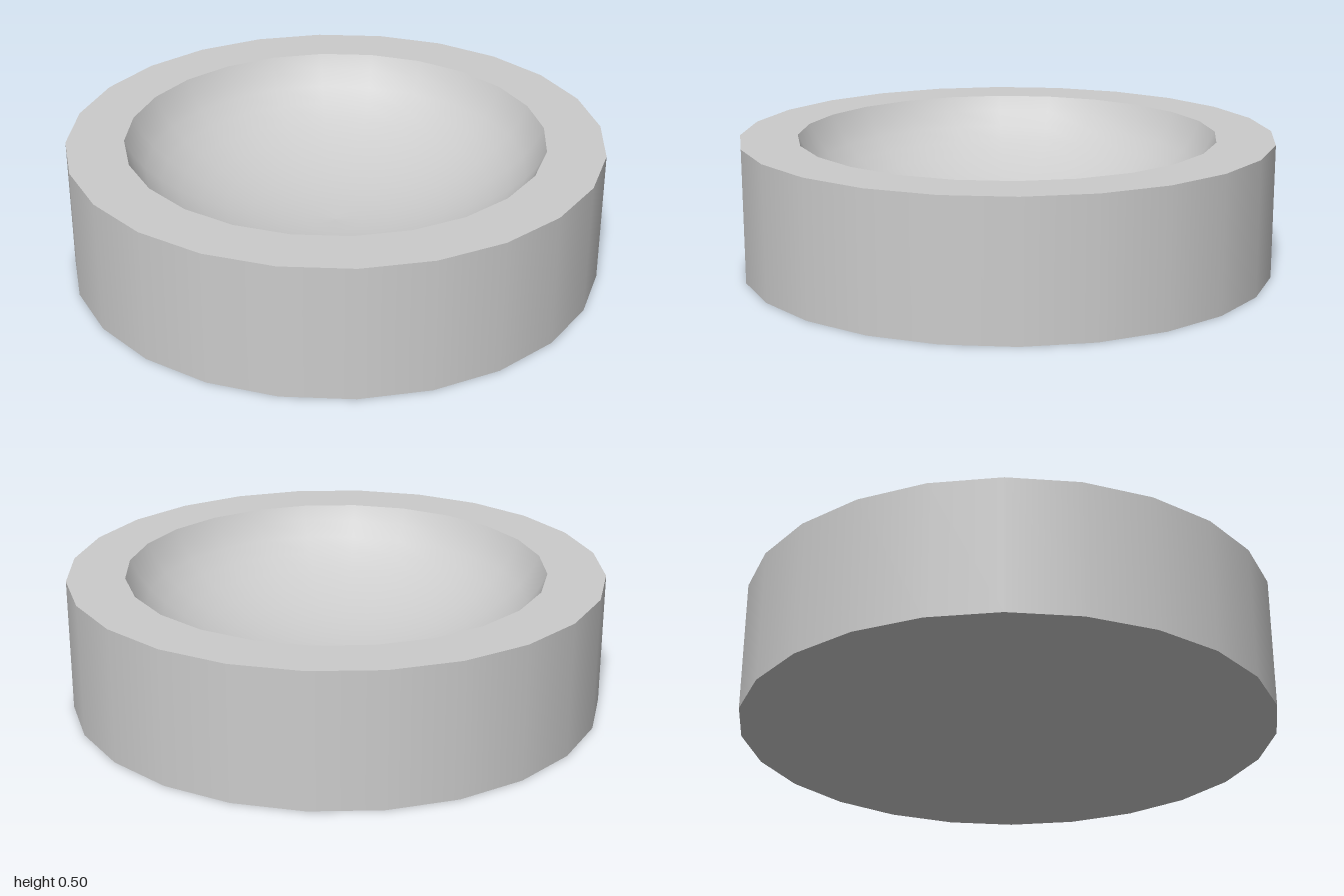
import * as THREE from 'three';

const SIDES = 24;
const OUTER = 1, INNER = 0.785, HEIGHT = 0.5;
// Ellipsoid that hollows the bowl: its centre lies a little above the rim
const BOWL_RADIUS = 0.8, BOWL_HEIGHT = 0.445;

export function createModel() {
  const group = new THREE.Group();
  group.name = 'dish';
  const material = new THREE.MeshStandardMaterial({ color: 0xcccccc });

  // Each surface is its own lathe, so edges between them stay sharp
  const addLathe = (name, points) => {
    const profile = points.map(([r, y]) => new THREE.Vector2(r, y));
    const mesh = new THREE.Mesh(new THREE.LatheGeometry(profile, SIDES), material);
    mesh.name = name;
    group.add(mesh);
  };

  addLathe('base', [[0, 0], [OUTER, 0]]);
  addLathe('outerWall', [[OUTER, 0], [OUTER, HEIGHT]]);
  addLathe('rim', [[OUTER, HEIGHT], [INNER, HEIGHT]]);

  // Hollow: ellipsoid cap, from the rim down to the centre
  const start = Math.asin(INNER / BOWL_RADIUS);
  const centreY = HEIGHT + BOWL_HEIGHT * Math.cos(start);
  const bowl = [];
  const steps = 10;
  for (let i = 0; i <= steps; i++) {
    const a = start * (1 - i / steps);
    bowl.push([BOWL_RADIUS * Math.sin(a), centreY - BOWL_HEIGHT * Math.cos(a)]);
  }
  addLathe('bowl', bowl);

  return group;
}
